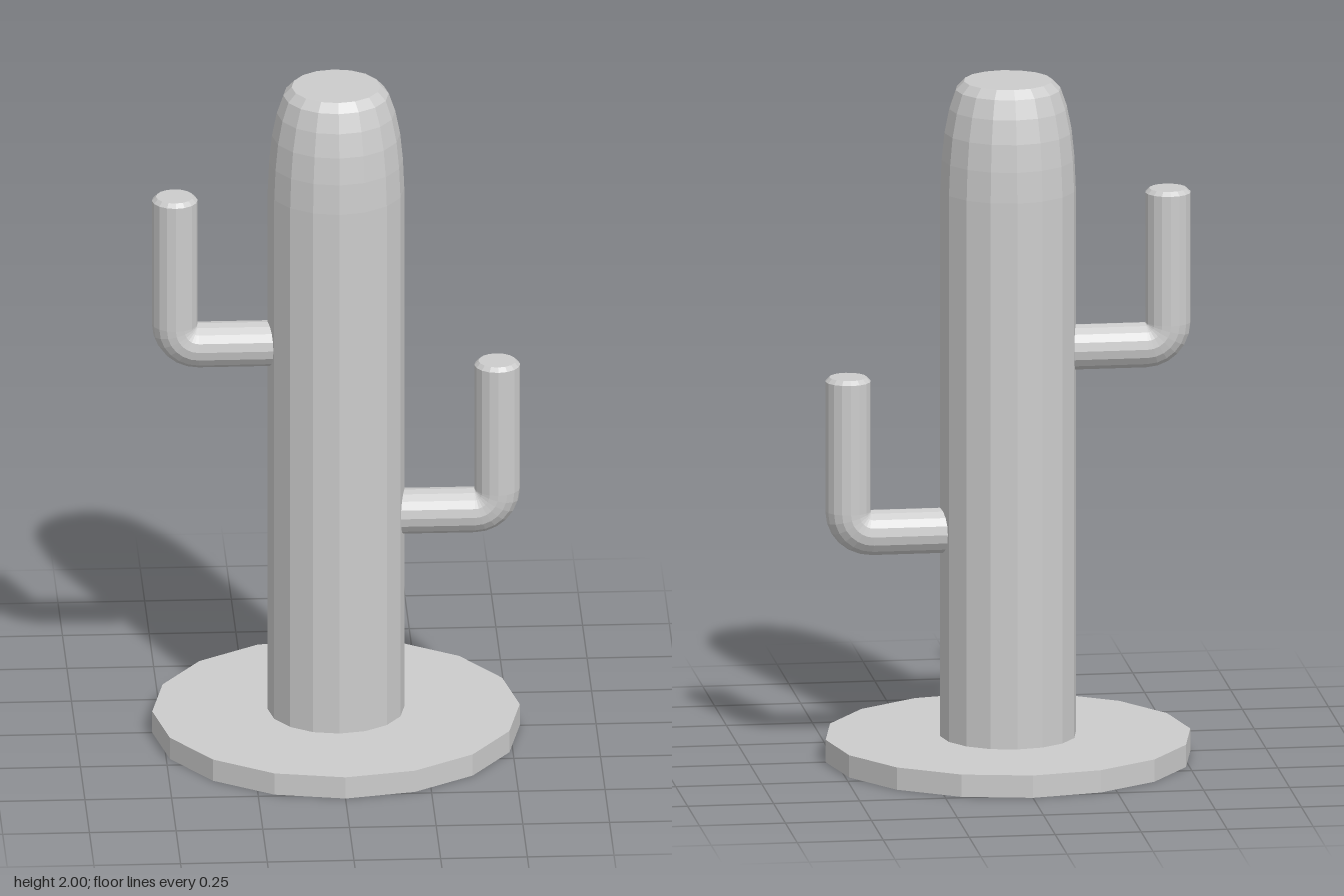
import * as THREE from 'three';

const SIDES = 16;
const ARM_R = 0.066;   // arm thickness (radius)
const ARM_X = 0.465;   // distance of the upright from the trunk axis
const BEVEL = 0.012;

export function createModel() {
  const model = new THREE.Group();
  model.name = 'cactusPost';
  const grey = new THREE.MeshStandardMaterial({ color: 0xcccccc, flatShading: true });
  grey.name = 'plain grey';

  const add = (parent, name, geometry, x = 0, y = 0, z = 0) => {
    const mesh = new THREE.Mesh(geometry, grey);
    mesh.name = name;
    mesh.position.set(x, y, z);
    parent.add(mesh);
    return mesh;
  };

  // Base disc
  add(model, 'base', new THREE.CylinderGeometry(0.53, 0.53, 0.066, SIDES), 0, 0.033, 0);

  // Trunk with a rounded shoulder and flat top
  const profile = [
    [0.197, 0.06], [0.197, 1.68], [0.193, 1.77], [0.185, 1.85],
    [0.171, 1.92], [0.152, 1.975], [0.128, 2], [0, 2],
  ].map(([r, y]) => new THREE.Vector2(r, y));
  add(model, 'trunk', new THREE.LatheGeometry(profile, SIDES));

  // Bent arm: horizontal branch, elbow, upright and bevelled tip
  const makeArm = (name, y) => {
    const arm = new THREE.Group();
    arm.name = name;
    const bend = 0.067;
    const elbowX = ARM_X - bend;
    const startX = 0.18;
    const topY = 0.462;

    const branch = add(arm, 'branch',
      new THREE.CylinderGeometry(ARM_R, ARM_R, elbowX - startX, SIDES), (elbowX + startX) / 2);
    branch.rotation.z = Math.PI / 2;

    const elbow = add(arm, 'elbow',
      new THREE.TorusGeometry(bend, ARM_R, SIDES, 6, Math.PI / 2), elbowX, bend);
    elbow.rotation.z = -Math.PI / 2;

    const length = topY - BEVEL - bend;
    add(arm, 'upright',
      new THREE.CylinderGeometry(ARM_R, ARM_R, length, SIDES, 1, true), ARM_X, bend + length / 2);
    add(arm, 'tip',
      new THREE.CylinderGeometry(ARM_R - BEVEL, ARM_R, BEVEL, SIDES), ARM_X, topY - BEVEL / 2);

    arm.position.y = y;
    model.add(arm);
    return arm;
  };

  makeArm('leftArm', 0.675);
  makeArm('rightArm', 1.205).rotation.y = Math.PI;

  return model;
}
